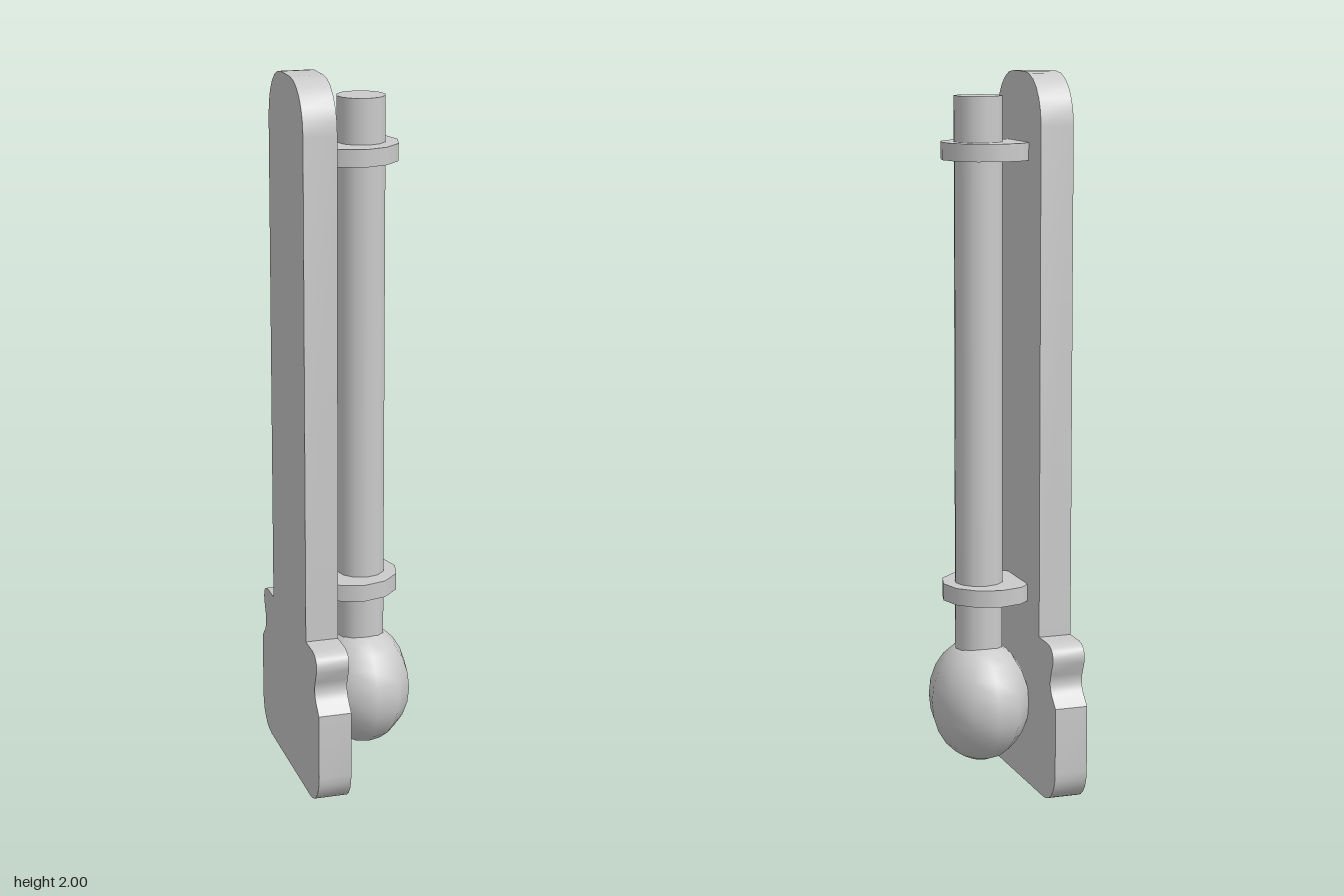
import * as THREE from 'three';
import { toCreasedNormals } from 'three/addons/utils/BufferGeometryUtils.js';

const material = new THREE.MeshStandardMaterial({ color: 0xcccccc });

function part(name, geometry, x, y, z = 0) {
  const mesh = new THREE.Mesh(geometry, material);
  mesh.name = name;
  mesh.position.set(x, y, z);
  return mesh;
}

// Upright board: long rounded stem on a wider, notched foot
function backPlateGeometry() {
  // one half of the outline, from the bottom centre to the top centre
  const path = new THREE.Path();
  path.moveTo(0, 0);
  path.lineTo(0.215, 0);
  path.bezierCurveTo(0.27, 0, 0.31, 0.04, 0.31, 0.095);
  path.lineTo(0.31, 0.28);
  path.lineTo(0.28, 0.31);
  path.quadraticCurveTo(0.26, 0.335, 0.272, 0.365);
  path.lineTo(0.287, 0.4);
  path.quadraticCurveTo(0.296, 0.445, 0.245, 0.45);
  path.lineTo(0.178, 0.45);
  path.lineTo(0.178, 1.86);
  path.bezierCurveTo(0.178, 1.94, 0.12, 2, 0.045, 2);
  path.lineTo(0, 2);

  const half = path.getPoints(6);
  const mirrored = half.slice(1, -1).reverse().map((p) => new THREE.Vector2(-p.x, p.y));
  const shape = new THREE.Shape([...half, ...mirrored]);
  const geometry = new THREE.ExtrudeGeometry(shape, { depth: 0.093, bevelEnabled: false });
  geometry.rotateY(Math.PI / 2);
  return toCreasedNormals(geometry, 0.6);
}

export function createModel() {
  const group = new THREE.Group();
  group.name = 'wallThermometer';

  group.add(part('backPlate', backPlateGeometry(), -0.175, 0));

  // Glass tube
  group.add(part('tube', new THREE.CylinderGeometry(0.068, 0.068, 1.585, 12), 0.035, 1.1425));

  // Clamps that hold the tube to the plate
  for (const [name, y] of [['lowerClamp', 0.555], ['upperClamp', 1.786]]) {
    group.add(part(name, new THREE.CylinderGeometry(0.128, 0.128, 0.048, 12), 0.011, y));
  }

  // Bulb, slightly flattened towards the plate
  const bulb = part('bulb', new THREE.SphereGeometry(1, 12, 12), 0.035, 0.236);
  bulb.scale.set(0.139, 0.175, 0.18);
  group.add(bulb);

  return group;
}
